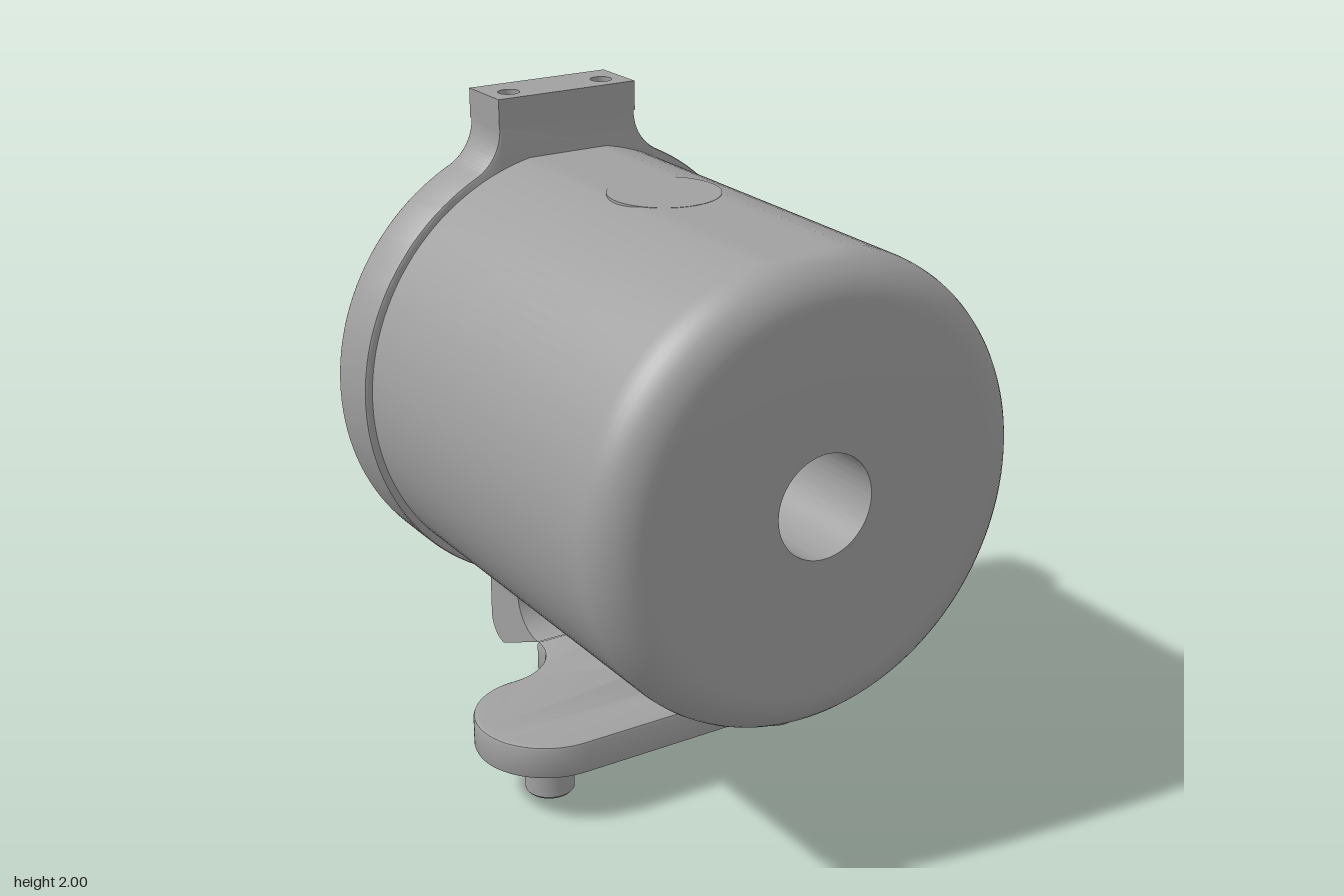
import * as THREE from 'three';
import { toCreasedNormals } from 'three/addons/utils/BufferGeometryUtils.js';

const CY = 1.135;      // height of the housing axis
const RING = 0.715;    // outer radius of the bracket ring
const BACK = -0.765, FACE = -0.58;

// Closed outline from its right half, mirrored to the left
function mirrored(halfPath) {
  const right = halfPath.getPoints(24);
  const left = right.map(p => new THREE.Vector2(-p.x, p.y)).reverse();
  return new THREE.Shape([...right, ...left]);
}

function circleHole(x, y, r) {
  return new THREE.Path().absarc(x, y, r, 0, Math.PI * 2, true);
}

// Extrusion of the given total depth with slightly broken edges
function slab(shape, depth, bevel = 0) {
  const g = new THREE.ExtrudeGeometry(shape, {
    depth: depth - 2 * bevel, curveSegments: 32, bevelEnabled: bevel > 0,
    bevelThickness: bevel, bevelSize: bevel, bevelOffset: -bevel, bevelSegments: 2,
  });
  return g.translate(0, 0, bevel);
}

export function createModel() {
  const group = new THREE.Group();
  const metal = new THREE.MeshStandardMaterial({ color: 0xa0a0a0 });
  metal.name = 'grey metal';

  function add(name, geometry, parent = group) {
    const mesh = new THREE.Mesh(toCreasedNormals(geometry, 0.5), metal);
    mesh.name = name;
    parent.add(mesh);
    return mesh;
  }

  // Housing: thick drum with a rounded front edge and a bore right through
  const R = 0.69, round = 0.135, front = 0.765, bore = 0.153;
  const profile = [new THREE.Vector2(bore, FACE), new THREE.Vector2(R, FACE)];
  for (let i = 0; i <= 10; i++) {
    const a = i / 10 * Math.PI / 2;
    profile.push(new THREE.Vector2(R - round + round * Math.cos(a), front - round + round * Math.sin(a)));
  }
  profile.push(new THREE.Vector2(bore, front), new THREE.Vector2(bore, FACE));
  const drum = new THREE.LatheGeometry(profile, 128).rotateX(Math.PI / 2);
  // slight flats along the top and bottom
  const pos = drum.attributes.position;
  for (let i = 0; i < pos.count; i++) {
    pos.setY(i, THREE.MathUtils.clamp(pos.getY(i), -0.685, 0.677));
  }
  add('housing', drum.translate(0, CY, 0));

  // Flat round pad on top of the housing
  add('topPad', new THREE.CylinderGeometry(0.165, 0.165, 0.02, 48).translate(0, 1.803, -0.04));

  // Upright bracket ring with filleted necks above and below
  const f = 0.15, wTop = 0.235, wLow = 0.22;
  const rise = w => Math.sqrt((RING + f) ** 2 - (w + f) ** 2);
  const yTop = rise(wTop), yLow = -rise(wLow);
  const aTop = Math.atan2(yTop, wTop + f), aLow = Math.atan2(yLow, wLow + f);
  const half = new THREE.Path();
  half.moveTo(wLow, 0.34);
  half.absarc(wLow + f, CY + yLow, f, Math.PI, aLow + Math.PI, true);
  half.absarc(0, CY, RING, aLow, aTop, false);
  half.absarc(wTop + f, CY + yTop, f, aTop - Math.PI, -Math.PI, true);
  half.lineTo(wTop, 1.93);
  const ring = mirrored(half);
  ring.holes.push(circleHole(0, CY, 0.535));
  add('bracketRing', slab(ring, FACE - BACK, 0.01).translate(0, 0, BACK));

  // Top block with two blind screw holes
  const block = new THREE.Shape();
  block.moveTo(-wTop, BACK).lineTo(wTop, BACK).lineTo(wTop, FACE).lineTo(-wTop, FACE).closePath();
  for (const x of [-0.16, 0.16]) block.holes.push(circleHole(x, -0.655, 0.033));
  add('topBlock', slab(block, 0.09).rotateX(Math.PI / 2).translate(0, 2, 0));

  // Bend between the upright ring and the foot
  const bend = new THREE.Shape();
  bend.moveTo(0.45, 0.16);
  bend.absarc(0.685, 0.24, 0.08, -Math.PI / 2, 0, false);
  bend.lineTo(0.765, 0.4);
  bend.lineTo(0.58, 0.4);
  bend.absarc(0.46, 0.385, 0.12, 0, -Math.PI / 2, true);
  bend.lineTo(0.45, 0.265);
  add('bracketBend', slab(bend, 2 * wLow).rotateY(Math.PI / 2).translate(-wLow, 0, 0));

  // Foot: narrow stem spreading into two round lobes
  const lobe = 0.225, zBolt = -0.04, xBolt = 0.415;
  const footHalf = new THREE.Path();
  footHalf.moveTo(wLow, -0.5);
  footHalf.absarc(0.41, -0.455, 0.19, Math.PI, Math.PI / 2, true);
  footHalf.absarc(xBolt, zBolt, lobe, -Math.PI / 2, Math.PI / 2, false);
  const foot = mirrored(footHalf);
  foot.holes.push(circleHole(0, zBolt, 0.065));
  add('foot', slab(foot, 0.105, 0.01).rotateX(Math.PI / 2).translate(0, 0.265, 0));

  // Stepped pins under the lobes
  const pin = [[0, 0], [0.068, 0], [0.075, 0.008], [0.075, 0.1], [0.108, 0.1], [0.113, 0.106], [0.113, 0.17]]
    .map(p => new THREE.Vector2(...p));
  for (const side of [-1, 1]) {
    add(side > 0 ? 'leftPin' : 'rightPin',
      new THREE.LatheGeometry(pin, 40).translate(side * xBolt, 0, zBolt));
  }
  return group;
}
